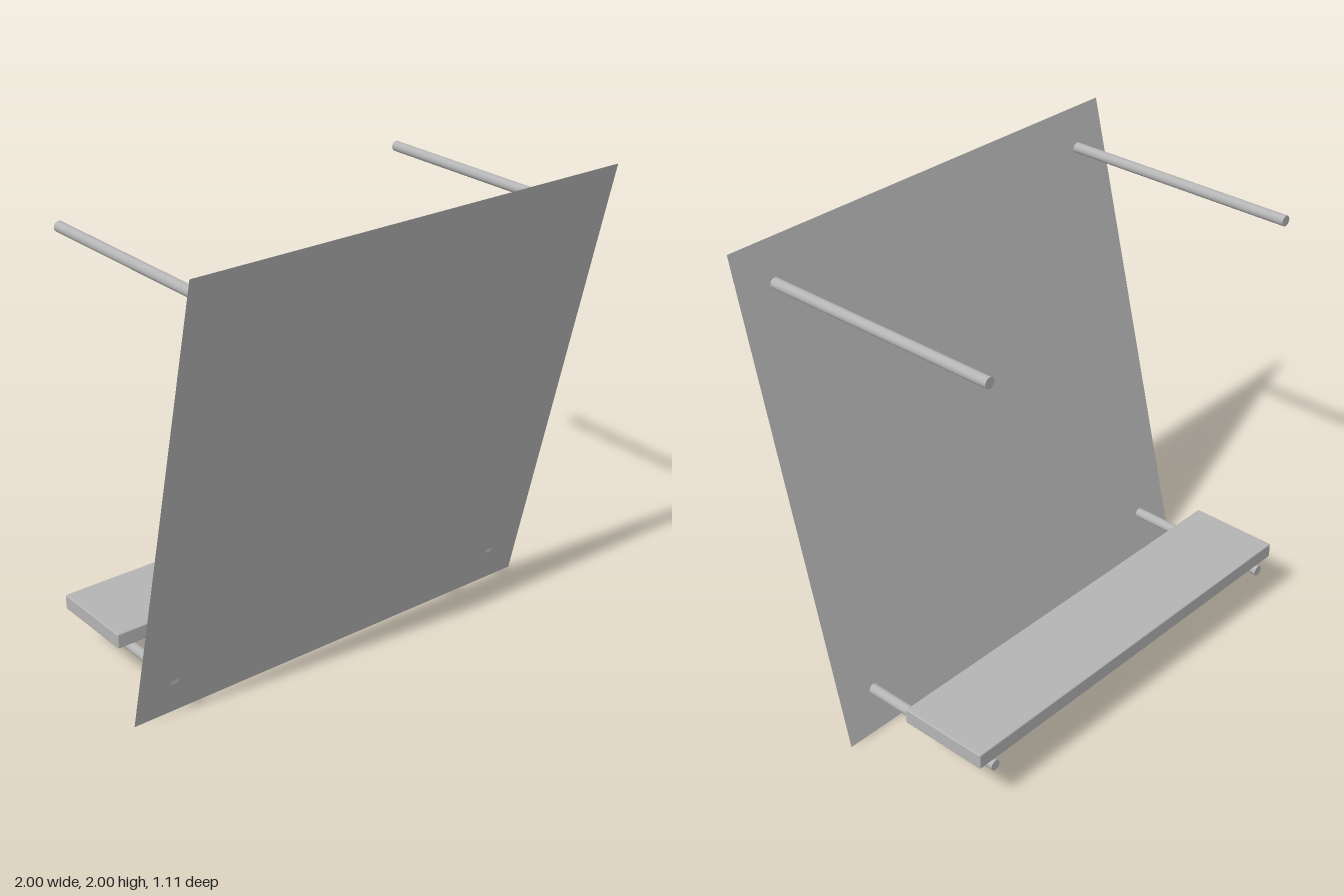
import * as THREE from 'three';
import { RoundedBoxGeometry } from 'three/addons/geometries/RoundedBoxGeometry.js';

export function createModel() {
  const group = new THREE.Group();
  const grey = new THREE.MeshStandardMaterial({ color: 0xb4b4b4, side: THREE.DoubleSide });
  grey.name = 'grey';

  const BACK = -0.555;      // plane of the wall the rods start from
  const PANEL_BOTTOM = 0.07, PANEL_TOP = 0.555;

  function add(name, geometry, x, y, z) {
    const mesh = new THREE.Mesh(geometry, grey);
    mesh.name = name;
    mesh.position.set(x, y, z);
    group.add(mesh);
    return mesh;
  }

  // Thin square panel leaning forward at the top
  const lean = PANEL_TOP - PANEL_BOTTOM;
  const panel = add('leaningPanel', new THREE.PlaneGeometry(2, Math.hypot(2, lean)),
    0, 1, (PANEL_TOP + PANEL_BOTTOM) / 2);
  panel.rotation.x = Math.atan2(lean, 2);

  // Horizontal rods from the back to the panel
  function rod(name, x, y, front) {
    const geometry = new THREE.CylinderGeometry(0.022, 0.022, front - BACK, 24);
    geometry.rotateX(Math.PI / 2);
    add(name, geometry, x, y, (front + BACK) / 2);
  }
  for (const [side, x] of [['left', 0.831], ['right', -0.831]]) {
    rod(side + 'UpperRod', x, 1.841, 0.511);
    rod(side + 'LowerRod', x, 0.173, 0.111);
  }

  // Shelf board with slightly eased edges above the lower rods
  add('shelf', new RoundedBoxGeometry(1.828, 0.066, 0.394, 2, 0.006), 0, 0.24, BACK + 0.197);

  return group;
}
